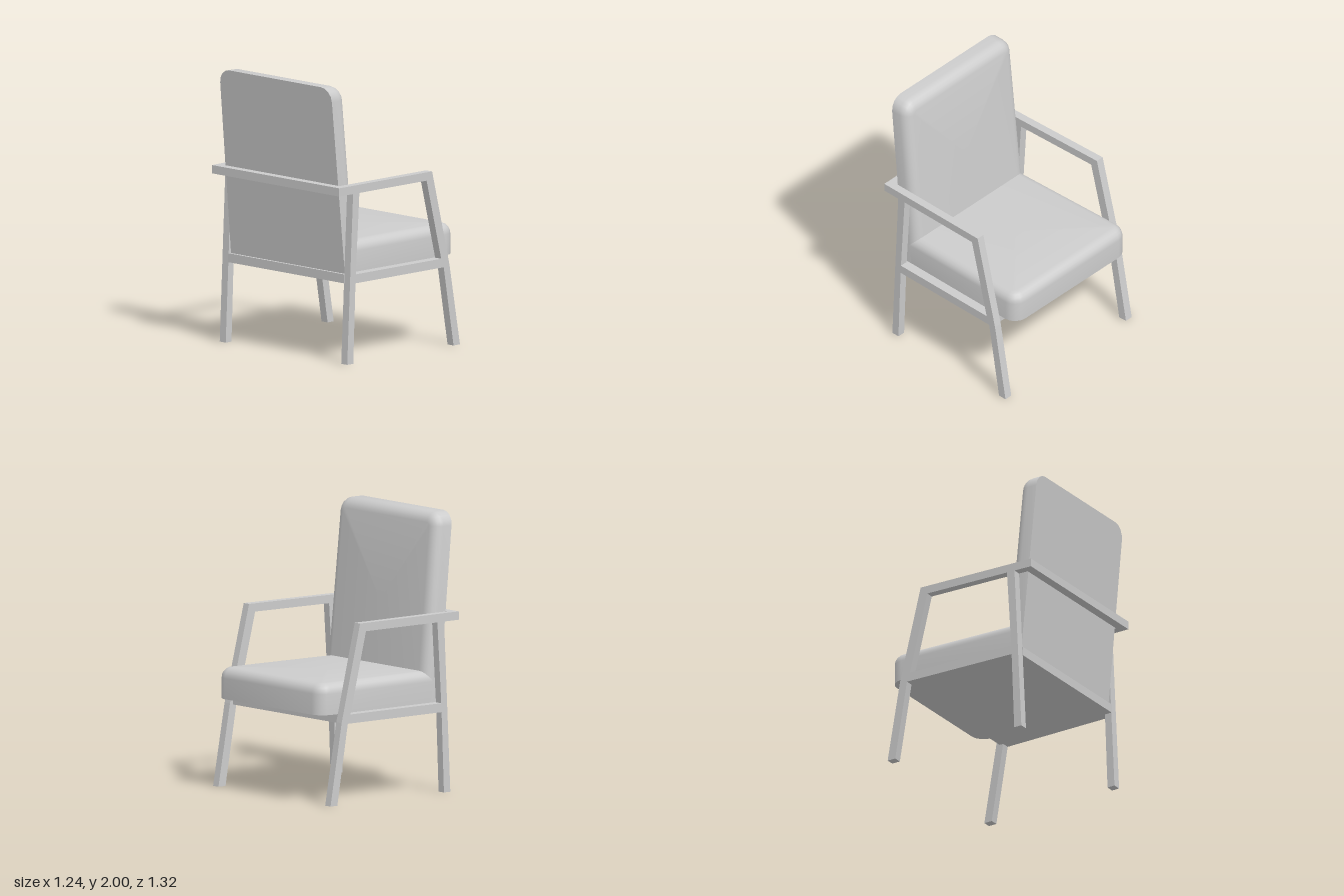
import * as THREE from 'three';
import { toCreasedNormals } from 'three/addons/utils/BufferGeometryUtils.js';

const SPLAY = 0.021; // side frames widen slightly toward the front

// Cushion with a rounded far end and softened upper rim; place(u, v, h) maps it into space.
function padGeometry(length, w0, w1, height, r, bevel, place) {
  const ring = (inset, h) => {
    const pts = [[0, -(w0 - inset)]];
    for (const side of [-1, 1]) {
      for (let i = 0; i <= 4; i++) {
        const a = (i / 4 + (side < 0 ? -1 : 0)) * Math.PI / 2;
        pts.push([
          length - r + (r - inset) * Math.cos(a),
          side * (w1 - r) + (r - inset) * Math.sin(a),
        ]);
      }
    }
    pts.push([0, w0 - inset]);
    return pts.map(([u, v]) => place(u, v, h));
  };

  const rings = [ring(0, 0)];
  for (let i = 0; i <= 5; i++) {
    const t = i / 5 * Math.PI / 2;
    rings.push(ring(bevel * (1 - Math.cos(t)), height - bevel + bevel * Math.sin(t)));
  }

  const out = [];
  const tri = (a, b, c) => out.push(...a, ...b, ...c);
  const n = rings[0].length;
  const bottom = place(length / 2, 0, 0);
  const top = place(length / 2, 0, height);
  const last = rings[rings.length - 1];
  for (let i = 0; i < n; i++) {
    const j = (i + 1) % n;
    for (let k = 0; k + 1 < rings.length; k++) {
      const a = rings[k], b = rings[k + 1];
      tri(a[i], a[j], b[j]);
      tri(a[i], b[j], b[i]);
    }
    tri(bottom, rings[0][j], rings[0][i]);
    tri(top, last[i], last[j]);
  }
  const geo = new THREE.BufferGeometry();
  geo.setAttribute('position', new THREE.Float32BufferAttribute(out, 3));
  return toCreasedNormals(geo, 0.6);
}

// Shift z in proportion to x, away from the centre plane.
function splay(geo, amount) {
  const p = geo.attributes.position;
  for (let i = 0; i < p.count; i++) {
    p.setZ(i, p.getZ(i) + amount(p.getZ(i)) * p.getX(i));
  }
  geo.computeVertexNormals();
  return geo;
}

const toPoints = (list) => list.map(([x, y]) => new THREE.Vector2(x, y));

export function createModel() {
  const model = new THREE.Group();
  model.name = 'armchair';
  const grey = new THREE.MeshStandardMaterial({ color: 0xcccccc });
  grey.name = 'light grey';
  const add = (name, geo) => {
    const mesh = new THREE.Mesh(geo, grey);
    mesh.name = name;
    model.add(mesh);
    return mesh;
  };

  // Side frames: legs, armrest and lower rail in one piece
  const shape = new THREE.Shape(toPoints([
    [-0.535, 0], [-0.475, 0], [-0.453, 0.58], [0.425, 0.58], [0.523, 0], [0.587, 0],
    [0.483, 0.59], [0.31, 1.29], [-0.615, 1.29], [-0.615, 1.23], [-0.477, 1.23],
  ]));
  shape.holes.push(new THREE.Path(toPoints([
    [-0.45, 0.645], [-0.414, 1.23], [0.255, 1.23], [0.4, 0.645],
  ])));
  for (const side of [-1, 1]) {
    const geo = new THREE.ExtrudeGeometry(shape, { depth: 0.06, bevelEnabled: false });
    geo.translate(0, 0, side > 0 ? 0.587 : -0.647);
    add(side > 0 ? 'leftSideFrame' : 'rightSideFrame', splay(geo, () => side * SPLAY));
  }

  // Base panel between the lower rails
  const base = new THREE.BoxGeometry(0.965, 0.065, 1.18).toNonIndexed();
  base.translate(-0.0275, 0.6125, 0);
  add('seatBase', splay(base, (z) => Math.sign(z) * SPLAY));

  // Crossbar joining the armrests behind the back
  add('backCrossbar', new THREE.BoxGeometry(0.065, 0.06, 1.16))
    .position.set(-0.5825, 1.26, 0);

  // Upholstery
  add('seatCushion', padGeometry(1.1, 0.565, 0.588, 0.225, 0.1, 0.075,
    (u, v, h) => [-0.48 + u, 0.645 + h, -v]));
  add('backCushion', padGeometry(1.355, 0.567, 0.557, 0.147, 0.1, 0.075,
    (u, v, h) => [-0.49 - u * 0.096 + h, 0.645 + u, v]));

  return model;
}
